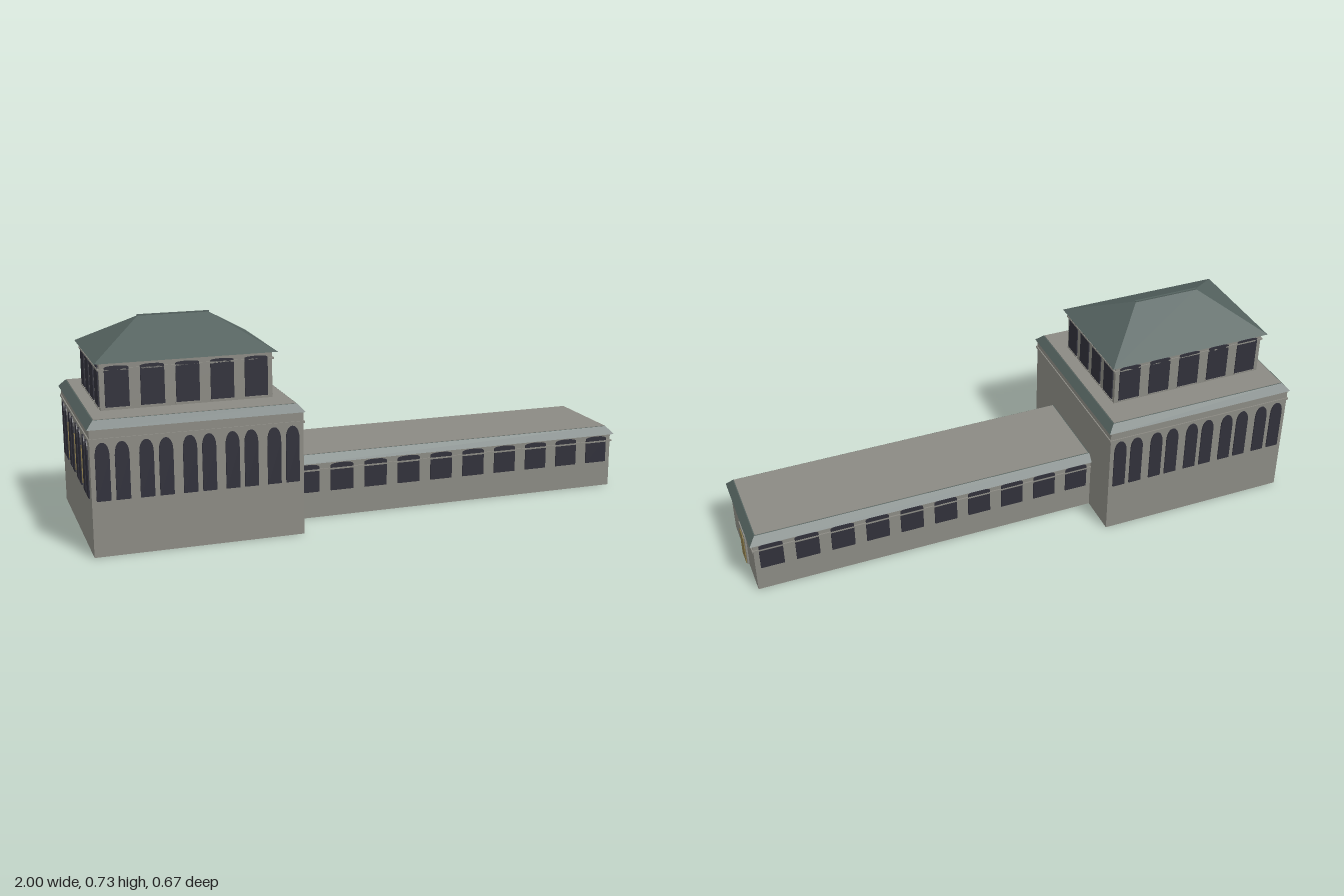
import * as THREE from 'three';

const mat = (name, color) => {
  const m = new THREE.MeshStandardMaterial({ color, side: THREE.DoubleSide, flatShading: true });
  m.name = name;
  return m;
};

export function createModel() {
  const stone = mat('stone', 0x8b8a83);
  const roof = mat('slateRoof', 0x54625f);
  const glass = mat('darkGlass', 0x30303a);
  const ochre = mat('ochreDoor', 0x8c7c4c);
  const model = new THREE.Group();
  model.name = 'building';

  const add = (parent, name, geo, material, x = 0, y = 0, z = 0) => {
    const m = new THREE.Mesh(geo, material);
    m.name = name;
    m.position.set(x, y, z);
    parent.add(m);
    return m;
  };
  const group = (name, x, z = 0) => {
    const g = new THREE.Group();
    g.name = name;
    g.position.set(x, 0, z);
    model.add(g);
    return g;
  };

  // Box whose top is narrowed to tw x td
  const hip = (w, d, tw, td, h) => {
    const g = new THREE.BoxGeometry(w, h, d);
    const p = g.attributes.position;
    for (let i = 0; i < p.count; i++) {
      if (p.getY(i) > 0) p.setXYZ(i, Math.sign(p.getX(i)) * tw / 2, h / 2, Math.sign(p.getZ(i)) * td / 2);
    }
    g.computeVertexNormals();
    return g;
  };

  // Four wall frames (front, left, back, right); local +z points outward
  const walls = (parent, w, d, y0, y1) => [0, 1, 2, 3].map((k) => {
    const side = new THREE.Group();
    side.name = ['frontWall', 'leftWall', 'backWall', 'rightWall'][k];
    side.rotation.y = k * Math.PI / 2;
    const inner = new THREE.Group();
    inner.position.z = (k % 2 ? w : d) / 2;
    side.add(inner);
    parent.add(side);
    add(inner, 'wall', new THREE.PlaneGeometry(k % 2 ? d : w, y1 - y0), stone, 0, (y0 + y1) / 2);
    return inner;
  });

  // Thin plate with a top rising by an arch, or softened corners
  const plate = (w, h, rise, t = 0.008) => {
    const s = new THREE.Shape();
    s.moveTo(-w / 2, 0);
    s.lineTo(w / 2, 0);
    s.lineTo(w / 2, h - rise);
    s.bezierCurveTo(w / 2, h - rise * 0.4, w * 0.3, h, 0, h);
    s.bezierCurveTo(-w * 0.3, h, -w / 2, h - rise * 0.4, -w / 2, h - rise);
    return new THREE.ExtrudeGeometry(s, { depth: t, bevelEnabled: false, curveSegments: 5 })
      .translate(0, 0, -t / 2);
  };

  // Band of trim around a block
  const band = (parent, w, d, y, h) => {
    for (const s of [-1, 1]) {
      add(parent, 'trim', new THREE.BoxGeometry(w, h, 0.014), stone, 0, y, s * (d / 2 - 0.007));
      add(parent, 'trim', new THREE.BoxGeometry(0.014, h, d), stone, s * (w / 2 - 0.007), y, 0);
    }
  };

  // Main hall with paired arched windows on three sides
  const hall = group('mainHall', -0.635);
  const hallSides = walls(hall, 0.714, 0.66, 0, 0.43);
  const arch = plate(0.047, 0.195, 0.045);
  [[0, 5, 0.143], [2, 5, 0.143], [3, 4, 0.158]].forEach(([k, pairs, step]) => {
    for (let i = 0; i < pairs; i++) {
      const u = (i - (pairs - 1) / 2) * step;
      for (const s of [-1, 1]) add(hallSides[k], 'archedWindow', arch, glass, u + s * 0.032, 0.19, 0);
    }
  });
  // Ochre slits between the pairs on the end wall
  for (const u of [-0.158, 0, 0.158]) {
    add(hallSides[3], 'ochreSlit', new THREE.BoxGeometry(0.008, 0.13, 0.008), ochre, u, 0.27, 0);
  }
  band(hall, 0.722, 0.668, 0.395, 0.008);
  add(hall, 'hallRoofSkirt', hip(0.73, 0.67, 0.682, 0.622, 0.026), roof, 0, 0.442, 0);
  add(hall, 'hallFlatRoof', new THREE.BoxGeometry(0.676, 0.004, 0.616), stone, 0, 0.455, 0);

  // Upper pavilion with a hipped roof
  const pavilion = group('pavilion', -0.64);
  const pavSides = walls(pavilion, 0.585, 0.404, 0.455, 0.616);
  pavSides.forEach((side, k) => {
    const n = k % 2 ? 4 : 5;
    const step = k % 2 ? 0.101 : 0.118;
    const w = k % 2 ? 0.07 : 0.08;
    for (let i = 0; i < n; i++) {
      const u = (i - (n - 1) / 2) * step;
      add(side, 'pavilionWindow', plate(w, 0.138, 0.006), glass, u, 0.467, 0);
      add(side, 'windowSill', new THREE.BoxGeometry(w + 0.006, 0.004, 0.012), stone, u, 0.465, 0);
    }
  });
  band(pavilion, 0.597, 0.412, 0.593, 0.006);
  add(pavilion, 'hippedRoof', hip(0.62, 0.436, 0.245, 0.003, 0.114), roof, 0, 0.673, 0);
  add(pavilion, 'ridgeCap', new THREE.BoxGeometry(0.25, 0.007, 0.007), roof, 0, 0.73, 0);

  // Long low wing with windows on both sides
  const wing = group('wing', 0.355);
  const wingSides = walls(wing, 1.266, 0.36, 0, 0.2);
  for (const k of [0, 2]) {
    for (let i = 0; i < 10; i++) {
      const u = (i - 4.5) * 0.1272 * (k ? -1 : 1);
      add(wingSides[k], 'wingWindow', plate(0.084, 0.1, 0.008), glass, u, 0.095, 0);
    }
  }
  band(wing, 1.276, 0.37, 0.175, 0.006);
  add(wing, 'wingRoofSkirt', hip(1.3, 0.376, 1.252, 0.33, 0.028), roof, -0.005, 0.214, 0);
  add(wing, 'wingFlatRoof', new THREE.BoxGeometry(1.246, 0.004, 0.324), stone, -0.005, 0.228, 0);

  // End door with its surround
  add(wingSides[1], 'doorSurround', new THREE.BoxGeometry(0.09, 0.13, 0.008), stone, 0, 0.07, 0.002);
  add(wingSides[1], 'door', plate(0.06, 0.12, 0.008, 0.008), ochre, 0, 0, 0.005);

  return model;
}
